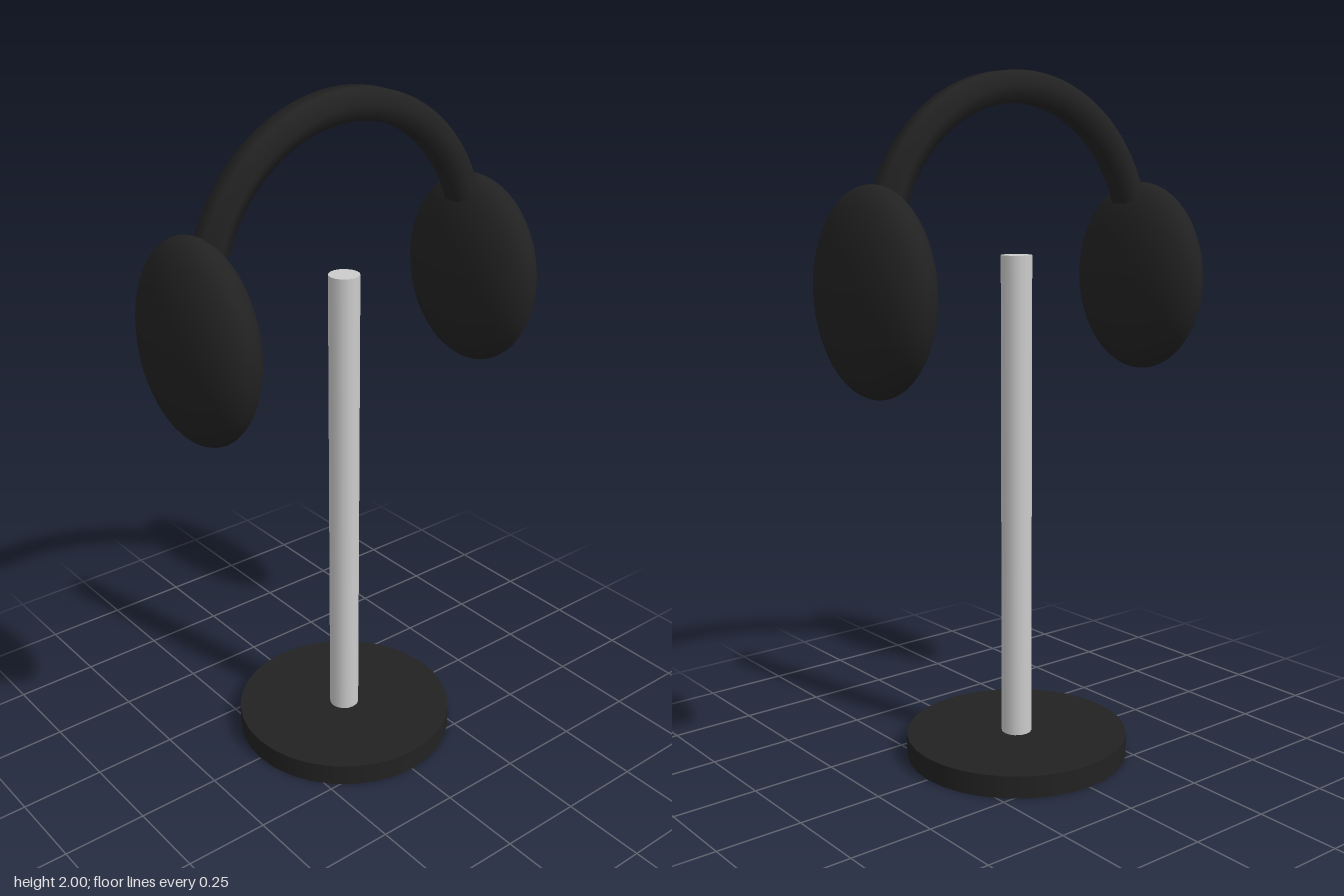
import * as THREE from 'three';

const BAND = { radius: 0.455, centerY: 1.502, start: Math.PI * 0.1, sweep: Math.PI * 0.8, tube: 0.05 };

// Circular arc in the front plane, running over the top
class BandArc extends THREE.Curve {
  getPoint(t, target = new THREE.Vector3()) {
    const a = BAND.start + BAND.sweep * t;
    return target.set(Math.cos(a) * BAND.radius, BAND.centerY + Math.sin(a) * BAND.radius, 0);
  }
}

export function createModel() {
  const model = new THREE.Group();
  const black = new THREE.MeshStandardMaterial({ color: 0x222222 });
  black.name = 'black';
  const silver = new THREE.MeshStandardMaterial({ color: 0xcccccc });
  silver.name = 'silver';

  const add = (name, geometry, material, x = 0, y = 0) => {
    const mesh = new THREE.Mesh(geometry, material);
    mesh.name = name;
    mesh.position.set(x, y, 0);
    model.add(mesh);
    return mesh;
  };

  // Stand
  add('base', new THREE.CylinderGeometry(0.33, 0.33, 0.066, 32), black, 0, 0.033);
  add('pole', new THREE.CylinderGeometry(0.045, 0.045, 1.426, 16), silver, 0, 0.779);

  // Six-sided headband
  const arc = new BandArc();
  add('headband', new THREE.TubeGeometry(arc, 32, BAND.tube, 6, false), black);

  // Ear cups, and the caps closing the band where it meets them
  for (const [side, t, dir] of [['left', 0, -1], ['right', 1, 1]]) {
    const cup = new THREE.SphereGeometry(1, 32, 24).scale(0.11, 0.283, 0.246);
    add(side + 'EarCup', cup, black, side === 'left' ? 0.484 : -0.484, 1.41);

    const end = arc.getPoint(t);
    const cap = add(side + 'BandEnd', new THREE.CircleGeometry(BAND.tube, 6, Math.PI / 2), black, end.x, end.y);
    // Local x stays in the front plane, so a corner points along z
    const out = arc.getTangent(t).multiplyScalar(dir);
    const depth = new THREE.Vector3(0, 0, 1);
    cap.quaternion.setFromRotationMatrix(
      new THREE.Matrix4().makeBasis(new THREE.Vector3().crossVectors(depth, out), depth, out));
  }
  return model;
}
